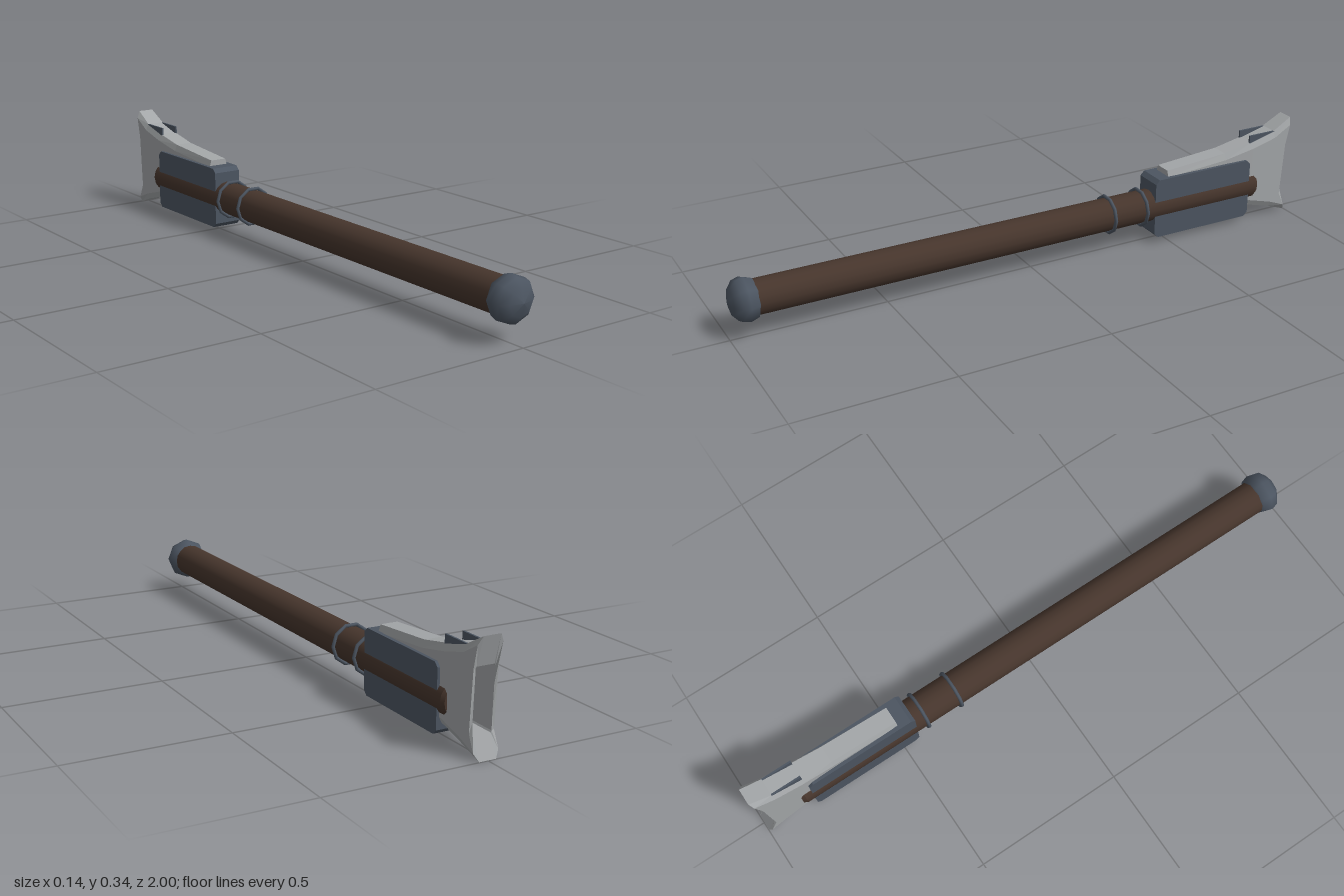
import * as THREE from 'three';

const AXIS_Y = 0.123;

const mat = (name, color) => {
  const m = new THREE.MeshStandardMaterial({ color });
  m.name = name;
  return m;
};

// Six points down the +x side, mirrored back up the -x side
const mirrorRing = (half) => [
  ...half,
  ...half.slice().reverse().map(([x, y, z]) => [-x, y, z]),
];

// Cross-section of the head: flat top and bottom with chamfered corners
const section = (z, w, topW, top, bottom) => {
  const h = top - bottom;
  return mirrorRing([
    [topW, top, z], [w, top - 0.022, z], [w, bottom + h * 0.75, z],
    [w, bottom + h * 0.25, z], [w, bottom + 0.02, z], [topW, bottom, z],
  ]);
};

// Skin a list of rings and close both ends, with flat facets
function loft(rings) {
  const pos = [];
  const n = rings[0].length;
  const tri = (a, b, c) => pos.push(...a, ...b, ...c);
  for (let i = 0; i < rings.length - 1; i++) {
    for (let j = 0; j < n; j++) {
      const k = (j + 1) % n;
      const a = rings[i][j], b = rings[i][k], c = rings[i + 1][k], d = rings[i + 1][j];
      tri(a, b, d);
      tri(b, c, d);
    }
  }
  const first = rings[0], last = rings[rings.length - 1];
  for (let k = 1; k < n - 1; k++) {
    tri(first[0], first[k + 1], first[k]);
    tri(last[0], last[k], last[k + 1]);
  }
  const g = new THREE.BufferGeometry();
  g.setAttribute('position', new THREE.Float32BufferAttribute(pos, 3));
  g.computeVertexNormals();
  return g;
}

export function createModel() {
  const group = new THREE.Group();
  group.name = 'warHammer';
  const wood = mat('darkWood', 0x46352c);
  const iron = mat('blueIron', 0x4c5561);
  const steel = mat('paleSteel', 0xa3a6a8);

  const add = (name, geo, material, x = 0, y = 0, z = 0) => {
    const m = new THREE.Mesh(geo, material);
    m.name = name;
    m.position.set(x, y, z);
    group.add(m);
    return m;
  };
  const alongZ = (geo) => geo.rotateX(Math.PI / 2);

  // Shaft with a slightly tapered far end
  add('shaft', alongZ(new THREE.CylinderGeometry(0.055, 0.055, 1.77, 16)), wood, 0, AXIS_Y, 0.035);
  add('shaftEnd', alongZ(new THREE.CylinderGeometry(0.055, 0.048, 0.012, 16)), wood, 0, AXIS_Y, -0.856);

  // Faceted pommel
  const pommel = [
    [0.045, 0.908], [0.063, 0.918], [0.072, 0.945],
    [0.066, 0.968], [0.042, 0.988], [0, 0.998],
  ].map(([r, y]) => new THREE.Vector2(r, y));
  add('pommel', alongZ(new THREE.LatheGeometry(pommel, 8)), iron, 0, AXIS_Y, 0);

  // Two thin bands
  for (const z of [-0.285, -0.408]) {
    add('band', new THREE.TorusGeometry(0.062, 0.006, 6, 10), iron, 0, AXIS_Y, z);
  }

  // Collar block with chamfered corners
  const [z0, z1, y0, y1, c] = [0.445, 0.825, 0.02, 0.226, 0.014];
  const outline = new THREE.Shape([
    [z0 + c, y0], [z1 - c, y0], [z1, y0 + c], [z1, y1 - c],
    [z1 - c, y1], [z0 + c, y1], [z0, y1 - c], [z0, y0 + c],
  ].map(([a, b]) => new THREE.Vector2(a, b)));
  const collar = new THREE.ExtrudeGeometry(outline, { depth: 0.096, bevelEnabled: false });
  collar.translate(0, 0, -0.048).rotateY(Math.PI / 2);
  add('collar', collar, iron);

  // Hammer head: flares to two claws around a recessed striking face
  const backEdge = mirrorRing([
    [0.027, 0.344, -1.0], [0.04, 0.32, -0.992], [0.04, 0.25, -0.977],
    [0.04, 0.07, -0.966], [0.04, 0.022, -0.988], [0.027, 0, -0.998],
  ]);
  const opening = (z) => mirrorRing([
    [0.028, 0.255, z - 0.006], [0.031, 0.25, z - 0.006], [0.031, 0.2, z - 0.004],
    [0.031, 0.1, z], [0.031, 0.068, z], [0.028, 0.063, z],
  ]);
  add('head', loft([
    section(-0.5, 0.035, 0.028, 0.245, 0.08),
    section(-0.73, 0.037, 0.029, 0.262, 0.07),
    section(-0.84, 0.04, 0.03, 0.283, 0.05),
    section(-0.93, 0.04, 0.03, 0.306, 0.025),
    backEdge,
    opening(-0.968),
    opening(-0.845),
  ]), steel);

  // Pair of thin fins standing on the head
  const fin = new THREE.Shape([
    [0.83, 0.265], [0.968, 0.262], [0.986, 0.306], [0.83, 0.306],
  ].map(([a, b]) => new THREE.Vector2(a, b)));
  for (const side of [-1, 1]) {
    const g = new THREE.ExtrudeGeometry(fin, { depth: 0.006, bevelEnabled: false });
    g.translate(0, 0, -0.003).rotateY(Math.PI / 2);
    add(side > 0 ? 'leftFin' : 'rightFin', g, iron, side * 0.028, 0, 0);
  }

  return group;
}
